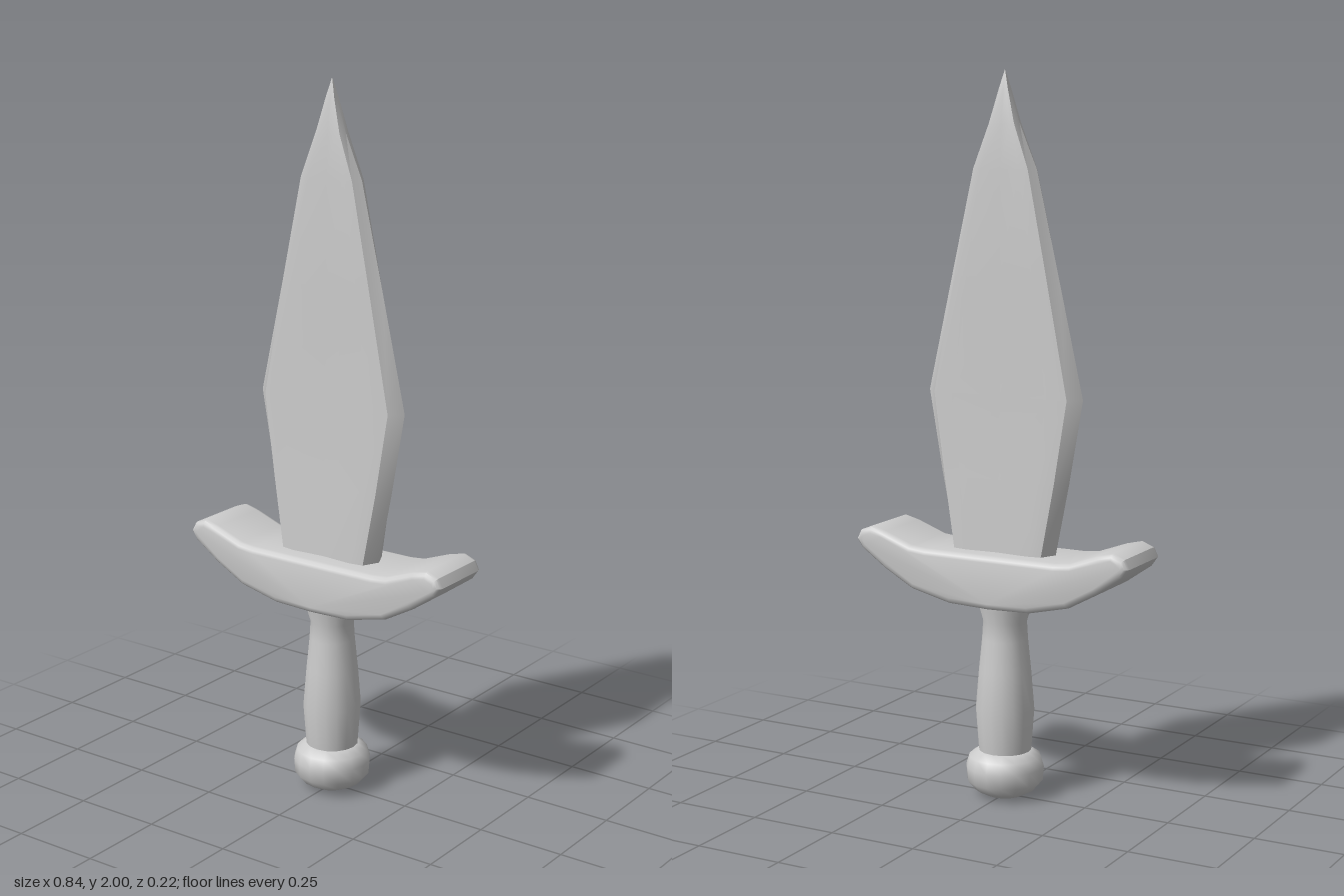
import * as THREE from 'three';
import { toCreasedNormals } from 'three/addons/utils/BufferGeometryUtils.js';

const material = new THREE.MeshStandardMaterial({ color: 0xcccccc });

function addPart(group, name, geometry, crease = 0.7) {
  const mesh = new THREE.Mesh(toCreasedNormals(geometry, crease), material);
  mesh.name = name;
  group.add(mesh);
}

// Loft of one ten-sided section, scaled by [height, half width, half thickness]
function bladeGeometry(levels) {
  const quarter = [[1, 0], [0.86, 0.88], [0.6, 1]];
  const section = [
    ...quarter, [0, 0.86],
    [-0.6, 1], [-0.86, 0.88], [-1, 0], [-0.86, -0.88], [-0.6, -1],
    [0, -0.86], [0.6, -1], [0.86, -0.88],
  ];
  const n = section.length;
  const positions = [];
  const index = [];
  levels.forEach(([y, w, t], row) => {
    section.forEach(([sx, sz], i) => {
      positions.push(sx * w, y, sz * t);
      if (row === 0) return;
      const a = (row - 1) * n + i;
      const b = (row - 1) * n + (i + 1) % n;
      index.push(a, a + n, b, b, a + n, b + n);
    });
  });
  const geometry = new THREE.BufferGeometry();
  geometry.setAttribute('position', new THREE.Float32BufferAttribute(positions, 3));
  geometry.setIndex(index);
  return geometry;
}

// Curved crossguard with upturned tips and rounded edges
function guardGeometry() {
  const bevel = 0.018;
  const half = [
    [0.12, 0.571], [0.235, 0.598], [0.32, 0.645], [0.39, 0.694],
    [0.4, 0.708], [0.395, 0.718], [0.372, 0.727], [0.335, 0.718],
    [0.25, 0.687], [0.2, 0.682],
  ];
  const mirrored = half.map(([x, y]) => [-x, y]).reverse();
  const outline = [[0, 0.567], ...half, ...mirrored].map(p => new THREE.Vector2(...p));
  const depth = 0.21 - 2 * bevel;
  const geometry = new THREE.ExtrudeGeometry(new THREE.Shape(outline), {
    depth, bevelEnabled: true, bevelSize: bevel, bevelThickness: bevel, bevelSegments: 3,
  });
  return geometry.translate(0, 0, -depth / 2);
}

function turned(profile, sides) {
  return new THREE.LatheGeometry(profile.map(p => new THREE.Vector2(...p)), sides);
}

export function createModel() {
  const model = new THREE.Group();
  model.name = 'dagger';

  addPart(model, 'blade', bladeGeometry([
    [0.62, 0.145, 0.054], [0.7, 0.157, 0.052], [0.9, 0.197, 0.043],
    [1.13, 0.237, 0.036], [1.45, 0.164, 0.033], [1.74, 0.096, 0.03],
    [1.86, 0.044, 0.023], [1.95, 0.016, 0.011], [2, 0.0005, 0.0005],
  ]), 0.6);

  addPart(model, 'crossguard', guardGeometry());

  // Grip swells toward the pommel and flares under the guard
  addPart(model, 'grip', turned([
    [0.07, 0.1], [0.074, 0.14], [0.082, 0.25], [0.073, 0.36],
    [0.064, 0.45], [0.061, 0.5], [0.071, 0.535], [0.072, 0.6],
  ], 16), 1);

  addPart(model, 'pommel', turned([
    [0, 0], [0.055, 0.004], [0.085, 0.02], [0.106, 0.045],
    [0.109, 0.085], [0.1, 0.115], [0.075, 0.132], [0, 0.138],
  ], 16), 1);

  return model;
}
